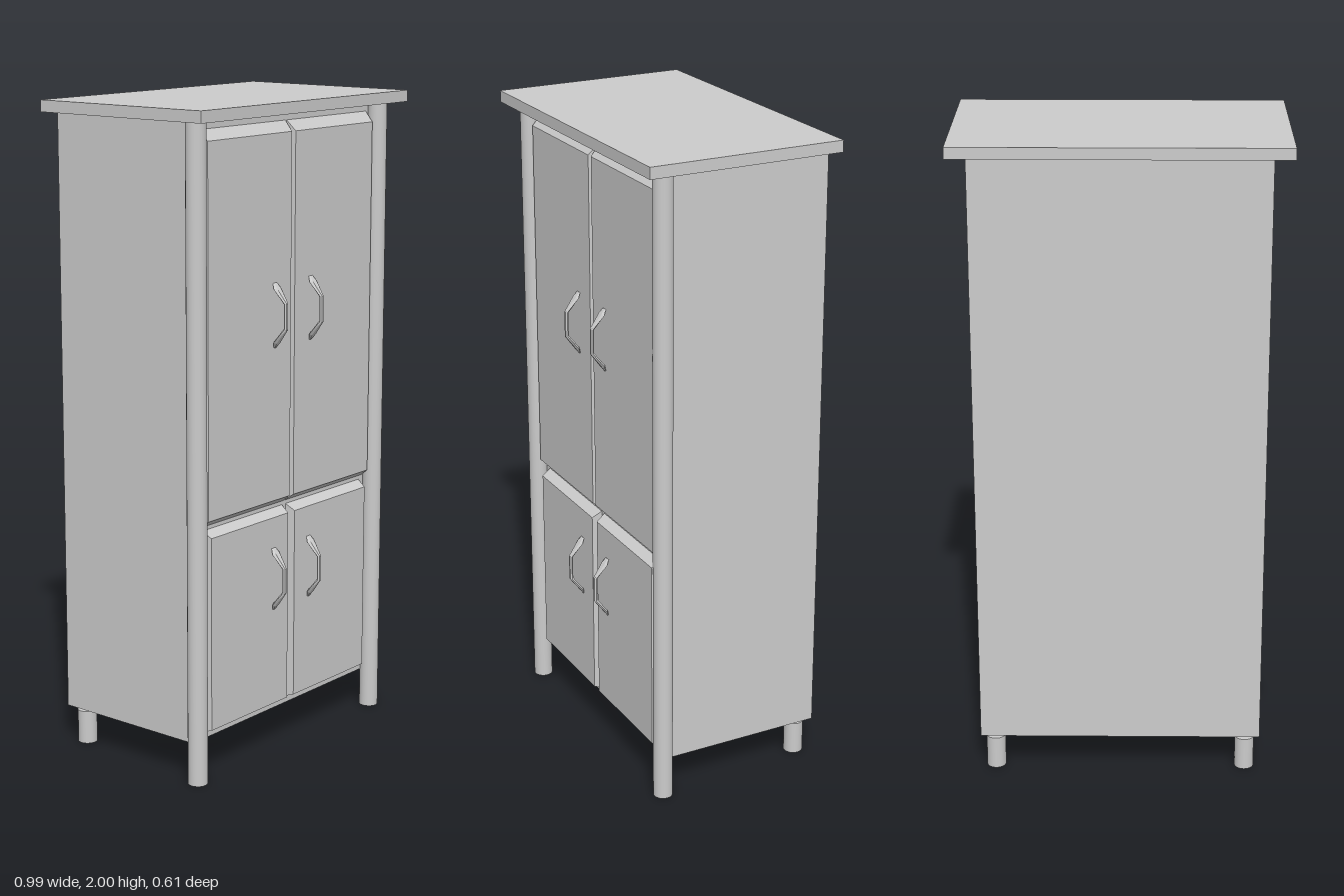
import * as THREE from 'three';

const material = new THREE.MeshStandardMaterial({ color: 0xcccccc });
const flatMaterial = new THREE.MeshStandardMaterial({ color: 0xcccccc, flatShading: true, side: THREE.DoubleSide });

function add(parent, name, geometry, x = 0, y = 0, z = 0, mat = material) {
  const mesh = new THREE.Mesh(geometry, mat);
  mesh.name = name;
  mesh.position.set(x, y, z);
  parent.add(mesh);
  return mesh;
}

// Box given by its limits on each axis
function block(parent, name, [x0, x1], [y0, y1], [z0, z1]) {
  return add(parent, name, new THREE.BoxGeometry(x1 - x0, y1 - y0, z1 - z0),
    (x0 + x1) / 2, (y0 + y1) / 2, (z0 + z1) / 2);
}

// Door panel whose front face is drawn in by the bevel widths
function bevelDoor(parent, name, xs, ys, zs, side, top, bottom) {
  const { geometry } = block(parent, name, xs, ys, zs);
  const p = geometry.attributes.position;
  for (let i = 0; i < p.count; i++) {
    if (p.getZ(i) < 0) continue;
    p.setX(i, p.getX(i) - Math.sign(p.getX(i)) * side);
    p.setY(i, p.getY(i) + (p.getY(i) > 0 ? -top : bottom));
  }
  geometry.computeVertexNormals();
}

// Bow handle: six-sided sections swept along a bent path, wide near both ends
function handleGeometry() {
  // y, z, half width, half thickness
  const stations = [
    [-0.098, 0.002, 0.004, 0.003], [-0.08, 0.012, 0.018, 0.006],
    [-0.038, 0.044, 0.007, 0.006], [0.038, 0.044, 0.007, 0.006],
    [0.08, 0.012, 0.018, 0.006], [0.096, 0.002, 0.01, 0.003],
  ];
  const sides = 6, positions = [], index = [];
  stations.forEach(([y, z, w, t], i) => {
    const a = stations[Math.max(i - 1, 0)], b = stations[Math.min(i + 1, stations.length - 1)];
    const dir = new THREE.Vector2(b[0] - a[0], b[1] - a[1]).normalize();
    for (let k = 0; k < sides; k++) {
      const angle = (k / sides) * Math.PI * 2, n = Math.sin(angle) * t;
      positions.push(Math.cos(angle) * w, y - dir.y * n, z + dir.x * n);
      if (i === 0) continue;
      const c = i * sides + k, d = i * sides + (k + 1) % sides;
      index.push(c - sides, c, d - sides, d - sides, c, d);
    }
  });
  // End caps
  const last = (stations.length - 1) * sides;
  for (let k = 1; k < sides - 1; k++) {
    index.push(0, k, k + 1, last, last + k + 1, last + k);
  }
  const geometry = new THREE.BufferGeometry();
  geometry.setAttribute('position', new THREE.Float32BufferAttribute(positions, 3));
  geometry.setIndex(index);
  geometry.computeVertexNormals();
  return geometry;
}

export function createModel() {
  const cabinet = new THREE.Group();
  cabinet.name = 'cabinet';
  const front = 0.245;

  // Carcass and overhanging top
  block(cabinet, 'carcass', [-0.435, 0.435], [0.12, 1.965], [-0.295, 0.215]);
  block(cabinet, 'topBoard', [-0.495, 0.495], [1.965, 2], [-0.305, 0.305]);

  const post = new THREE.CylinderGeometry(0.03, 0.03, 1.965, 20);
  const foot = new THREE.CylinderGeometry(0.03, 0.03, 0.105, 20);
  const handle = handleGeometry();

  for (const s of [1, -1]) {
    const label = s > 0 ? 'left' : 'right';
    const span = (a, b) => (s > 0 ? [a, b] : [-b, -a]);

    // Full-height front posts and short back feet
    add(cabinet, `${label}FrontPost`, post, s * 0.435, 0.9825, 0.235);
    add(cabinet, `${label}BackFoot`, foot, s * 0.39, 0.0525, -0.255);

    // Tall upper door and short lower door, each with a handle
    bevelDoor(cabinet, `${label}UpperDoor`, span(0.002, 0.402), [0.775, 1.942], [0.21, front], 0.007, 0.036, 0.026);
    bevelDoor(cabinet, `${label}LowerDoor`, span(0.008, 0.39), [0.14, 0.77], [0.21, front], 0.008, 0.022, 0.012);
    add(cabinet, `${label}UpperHandle`, handle, s * 0.087, 1.37, front - 0.002, flatMaterial);
    add(cabinet, `${label}LowerHandle`, handle, s * 0.087, 0.556, front - 0.002, flatMaterial);
  }
  return cabinet;
}
